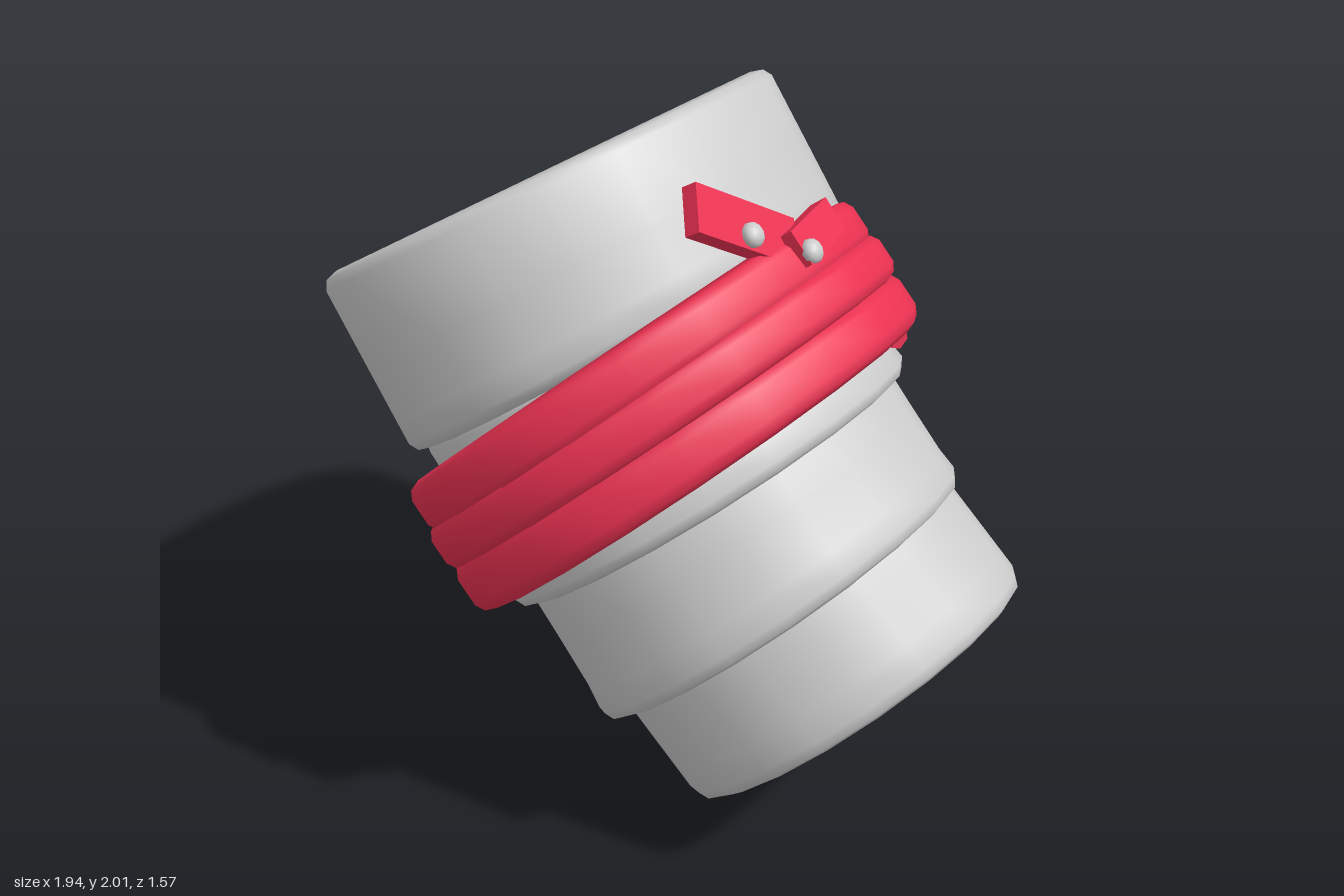
import * as THREE from 'three';
import { toCreasedNormals } from 'three/addons/utils/BufferGeometryUtils.js';

const V = (x, y, z) => new THREE.Vector3(x, y, z);
const lerp = THREE.MathUtils.lerp;
const grey = new THREE.MeshStandardMaterial({ color: 0xcccccc, side: THREE.DoubleSide });
const red = new THREE.MeshStandardMaterial({ color: 0xec3252, side: THREE.DoubleSide });

// An oval ring: centre, slope in degrees, half width and half depth, backward tilt
const ring = (x, y, z, slope, ru, rz, tilt = 0.08) => ({ x, y, z, slope, ru, rz, tilt });
const mix = (a, b, t) => {
  const r = {};
  for (const k in a) r[k] = lerp(a[k], b[k], t);
  return r;
};
function frame(r) {
  const a = THREE.MathUtils.degToRad(r.slope), c = Math.cos(a), s = Math.sin(a);
  const ct = Math.cos(r.tilt), st = Math.sin(r.tilt);
  return { u: V(c, s, 0), v: V(-s * st, c * st, ct), n: V(s * ct, -c * ct, st) };
}
function ringPoint(r, angle, offset) {
  const { u, v } = frame(r);
  return V(r.x, r.y, r.z)
    .addScaledVector(u, (r.ru + offset) * Math.cos(angle))
    .addScaledVector(v, (r.rz + offset) * Math.sin(angle));
}

// Sweeps a closed profile of [position between rings, radial offset] around two rings
function loft(a, b, profile, from = 0, to = Math.PI * 2, steps = 20) {
  const closed = to - from > 6.28, m = profile.length, pos = [], idx = [];
  const rows = closed ? steps : steps + 1;
  for (let i = 0; i < rows; i++) {
    const angle = lerp(from, to, i / steps);
    for (const [t, off] of profile) pos.push(...ringPoint(mix(a, b, t), angle, off).toArray());
  }
  for (let i = 0; i < steps; i++) {
    const i2 = (i + 1) % rows;
    for (let j = 0; j < m; j++) {
      const k = (j + 1) % m;
      idx.push(i * m + j, i2 * m + j, i * m + k, i2 * m + j, i2 * m + k, i * m + k);
    }
  }
  // End caps of an open arc
  if (!closed) for (let j = 1; j < m - 1; j++) {
    const e = steps * m;
    idx.push(0, j, j + 1, e, e + j + 1, e + j);
  }
  const g = new THREE.BufferGeometry();
  g.setAttribute('position', new THREE.Float32BufferAttribute(pos, 3));
  g.setIndex(idx);
  return toCreasedNormals(g, 1.1);
}

// Tube wall with half-round rims; lip swells the lower rim
function wall(w, lip) {
  const half = w / 2, round = 0.07, points = [];
  for (let k = 0; k <= 4; k++) {
    const p = Math.PI * (1 - k / 4);
    points.push([round * (1 - Math.sin(p)), -half + half * Math.cos(p)]);
  }
  points.push([0.5, 0], [0.8, lip * 0.3]);
  for (let k = 0; k <= 4; k++) {
    const p = Math.PI * k / 4;
    points.push([1 - round * (1 - Math.sin(p)), lip - half + (half + lip / 2) * Math.cos(p)]);
  }
  points.push([0.5, -w]);
  return points;
}

// Flat bar lying on the surface, between two points
function bar(p, q, width, thick, out) {
  const d = q.clone().sub(p), len = d.length();
  d.normalize();
  const w = d.clone().cross(out).normalize(), o = w.clone().cross(d);
  const m = new THREE.Mesh(new THREE.BoxGeometry(len, thick, width), red);
  m.quaternion.setFromRotationMatrix(new THREE.Matrix4().makeBasis(d, o, w));
  m.position.copy(p).add(q).multiplyScalar(0.5);
  return m;
}

export function createModel() {
  const model = new THREE.Group();
  const add = (name, mesh) => { mesh.name = name; model.add(mesh); };

  // Nested tube sections, widest at the top, bending as they narrow
  const sections = [
    ['topSection', ring(-0.44, 1.69, -0.05, 31, 0.642, 0.735), ring(-0.175, 1.265, -0.03, 35, 0.65, 0.735), 0.1, 0],
    ['middleSection', ring(-0.19, 1.29, -0.03, 35, 0.615, 0.695), ring(0.105, 0.87, 0.02, 38, 0.59, 0.65), 0.07, 0.015],
    ['lowerSection', ring(0.01, 1.0, 0.02, 39, 0.565, 0.62), ring(0.335, 0.58, 0.05, 41.5, 0.582, 0.605), 0.075, 0.006],
    ['bottomSection', ring(0.19, 0.77, 0.04, 41.5, 0.535, 0.555), ring(0.572, 0.35, 0.05, 42, 0.55, 0.545), 0.075, 0],
  ];
  for (const [name, a, b, w, lip] of sections) add(name, new THREE.Mesh(loft(a, b, wall(w, lip)), grey));

  // Strap wound three times, with a loose tail around the back
  const strapProfile = [[0, -0.045], [0.08, -0.014], [0.25, 0], [0.75, 0], [0.92, -0.014], [1, -0.045], [0.9, -0.065], [0.1, -0.065]];
  const strap = (r, half, from, to, steps) => {
    const { n } = frame(r);
    const shift = s => ({ ...r, x: r.x + n.x * s, y: r.y + n.y * s, z: r.z + n.z * s });
    return new THREE.Mesh(loft(shift(-half), shift(half), strapProfile, from, to, steps), red);
  };
  add('strapTurnUpper', strap(ring(-0.126, 1.189, 0, 41, 0.705, 0.775), 0.075));
  add('strapTurnMiddle', strap(ring(-0.06, 1.094, 0, 41, 0.725, 0.785), 0.07));
  add('strapTurnLower', strap(ring(0.013, 0.985, 0, 41, 0.72, 0.78), 0.08));
  add('strapTail', strap(ring(0.035, 0.945, 0, 41.5, 0.66, 0.765), 0.075, -Math.PI * 0.78, -0.45, 9));

  // Crossed strap ends on the upper right
  const out = V(0.8, 0.58, 0.12).normalize();
  add('strapEndFlat', bar(V(0.37, 1.675, -0.1), V(0.37, 1.665, 0.13), 0.1, 0.05, out));
  add('strapEndRaised', bar(V(0.2, 1.84, 0.38), V(0.335, 1.66, 0.08), 0.13, 0.045, V(0.85, 0.5, 0.1)));

  // Studs pinning the strap ends
  for (const [name, p] of [['studUpper', V(0.295, 1.735, 0.245)], ['studLower', V(0.395, 1.655, 0.1)]]) {
    const stud = new THREE.Group();
    const pin = new THREE.Mesh(new THREE.CylinderGeometry(0.018, 0.018, 0.06, 8), grey);
    const head = new THREE.Mesh(new THREE.SphereGeometry(0.034, 10, 6), grey);
    pin.position.y = -0.02;
    head.position.y = 0.015;
    head.scale.y = 0.75;
    stud.add(pin, head);
    stud.position.copy(p);
    stud.quaternion.setFromUnitVectors(V(0, 1, 0), out);
    add(name, stud);
  }
  return model;
}
